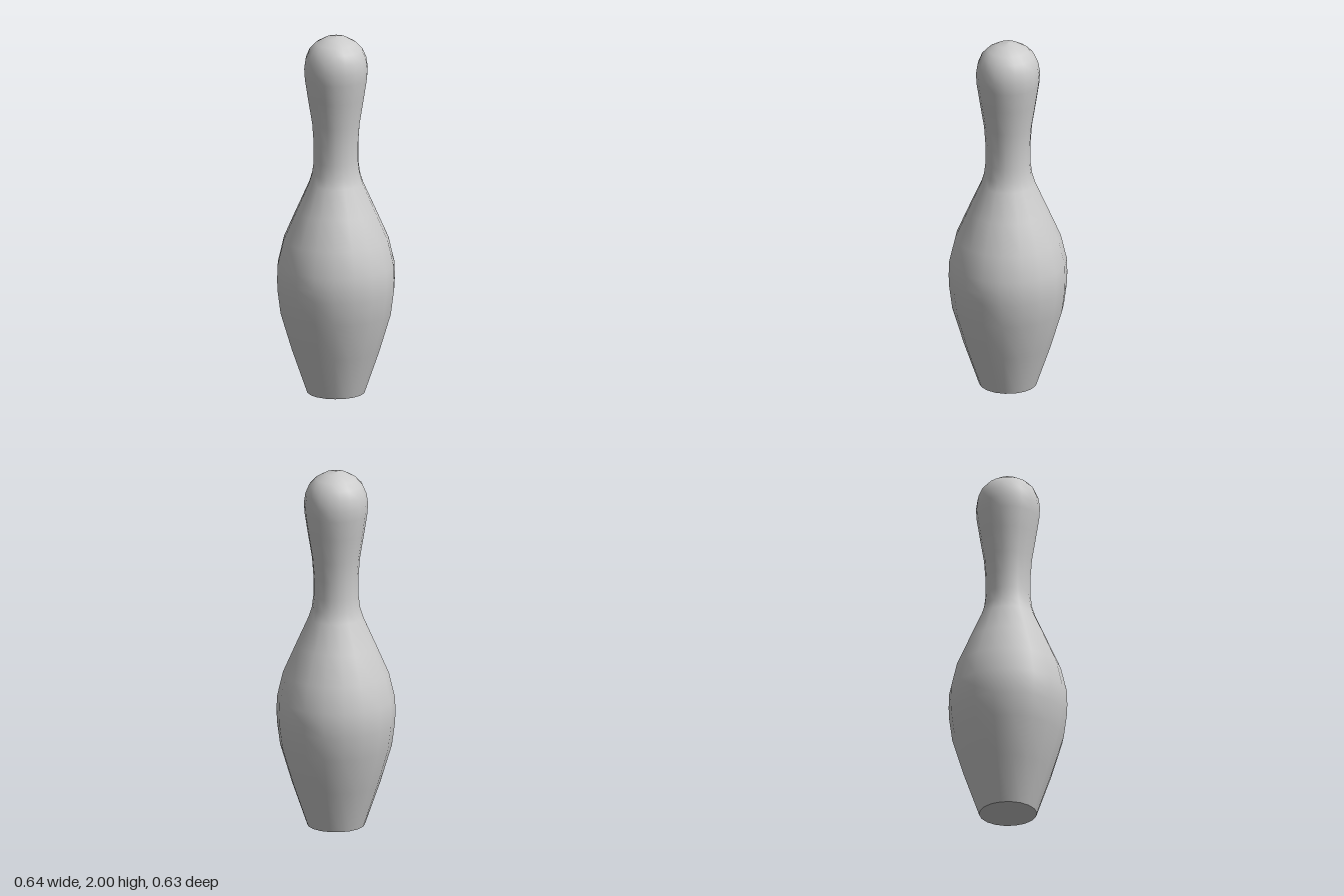
import * as THREE from 'three';

const SIDES = 18;

export function createModel() {
  const model = new THREE.Group();
  model.name = 'bowlingPin';
  const material = new THREE.MeshStandardMaterial({ color: 0xcccccc });

  // Turned body: radius and height from the base up to the crown
  const profile = [
    [0.157, 0], [0.24, 0.24], [0.303, 0.45], [0.32, 0.58], [0.322, 0.64], [0.32, 0.72],
    [0.287, 0.86], [0.217, 1.02], [0.148, 1.175], [0.131, 1.23], [0.122, 1.3],
    [0.122, 1.4], [0.13, 1.51], [0.153, 1.65], [0.17, 1.76], [0.174, 1.82],
    [0.166, 1.875], [0.145, 1.925], [0.111, 1.96], [0.058, 1.99], [0, 2],
  ].map(([r, y]) => new THREE.Vector2(r, y));
  const body = new THREE.Mesh(new THREE.LatheGeometry(profile, SIDES, Math.PI / 2), material);
  body.name = 'body';
  model.add(body);

  // Flat underside with a sharp rim
  const base = new THREE.Mesh(new THREE.CircleGeometry(profile[0].x, SIDES), material);
  base.name = 'base';
  base.rotation.x = Math.PI / 2;
  model.add(base);

  return model;
}
